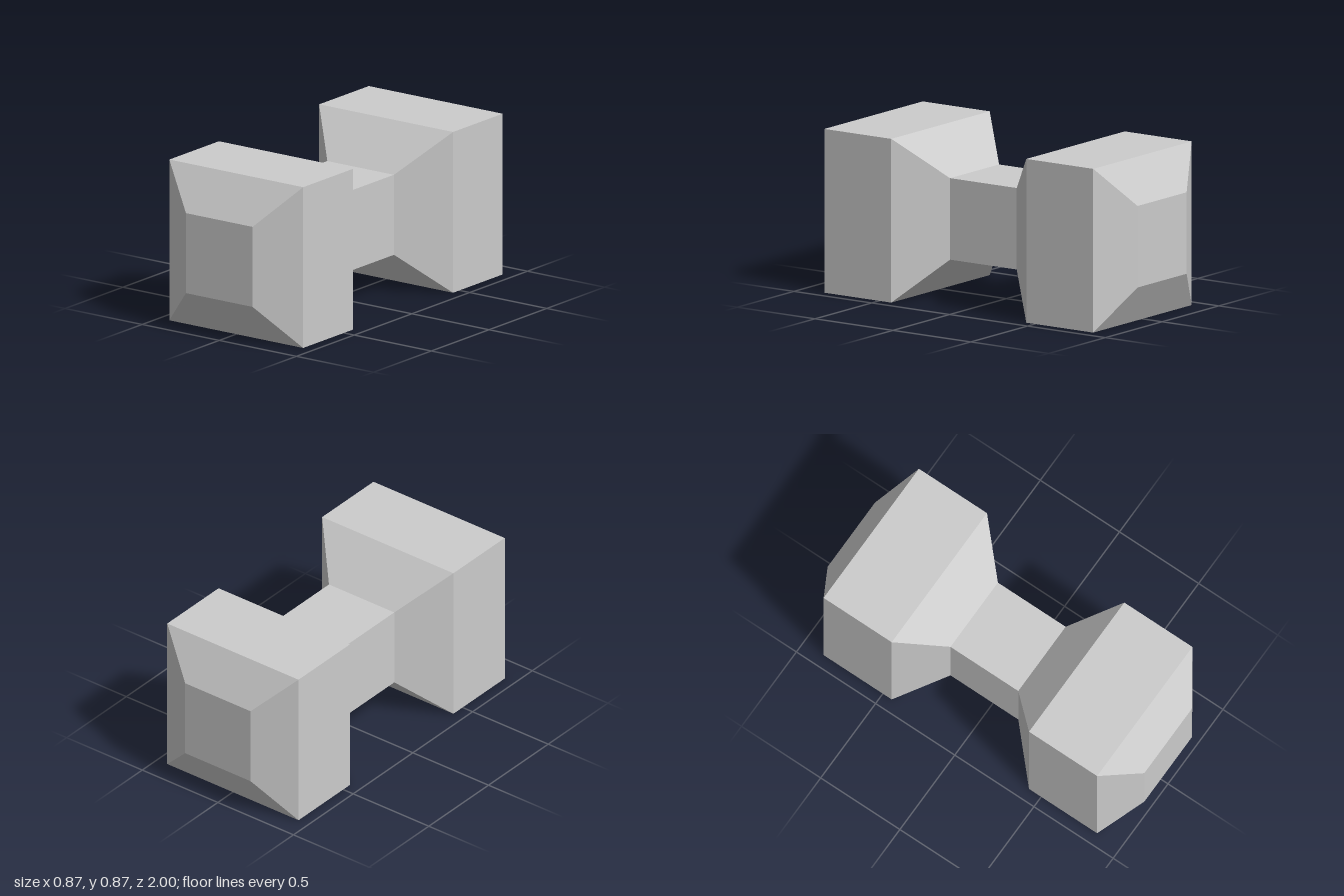
import * as THREE from 'three';
import { mergeGeometries } from 'three/addons/utils/BufferGeometryUtils.js';

const WIDE = 0.434, NARROW = 0.216; // half widths of the square sections

// Square section running along z, tapering between two half widths
function section(zBack, halfBack, zFront, halfFront, open = true) {
  const g = new THREE.CylinderGeometry(
    halfFront * Math.SQRT2, halfBack * Math.SQRT2, zFront - zBack, 4, 1, open, Math.PI / 4);
  g.rotateX(Math.PI / 2);
  g.translate(0, WIDE, (zBack + zFront) / 2);
  return g;
}

// Flat cap closing one end of the weight
function cap(z, facing) {
  const g = new THREE.PlaneGeometry(NARROW * 2, NARROW * 2);
  if (facing < 0) g.rotateY(Math.PI);
  g.translate(0, WIDE, z);
  return g;
}

export function createModel() {
  const group = new THREE.Group();
  const material = new THREE.MeshStandardMaterial({ color: 0xcccccc, flatShading: true });
  const add = (name, parts) => {
    const mesh = new THREE.Mesh(mergeGeometries(parts), material);
    mesh.name = name;
    group.add(mesh);
  };

  // Square grip between the weights
  add('handle', [section(-0.224, NARROW, 0.204, NARROW)]);

  // Front weight: inner taper, block, outer bevel, end face
  add('frontWeight', [
    section(0.204, NARROW, 0.423, WIDE),
    section(0.423, WIDE, 0.853, WIDE),
    section(0.853, WIDE, 1, NARROW),
    cap(1, 1),
  ]);

  // Back weight: its outer bevel is slightly shallower
  add('backWeight', [
    section(-0.444, WIDE, -0.224, NARROW),
    section(-0.874, WIDE, -0.444, WIDE),
    section(-1, NARROW, -0.874, WIDE),
    cap(-1, -1),
  ]);

  return group;
}
